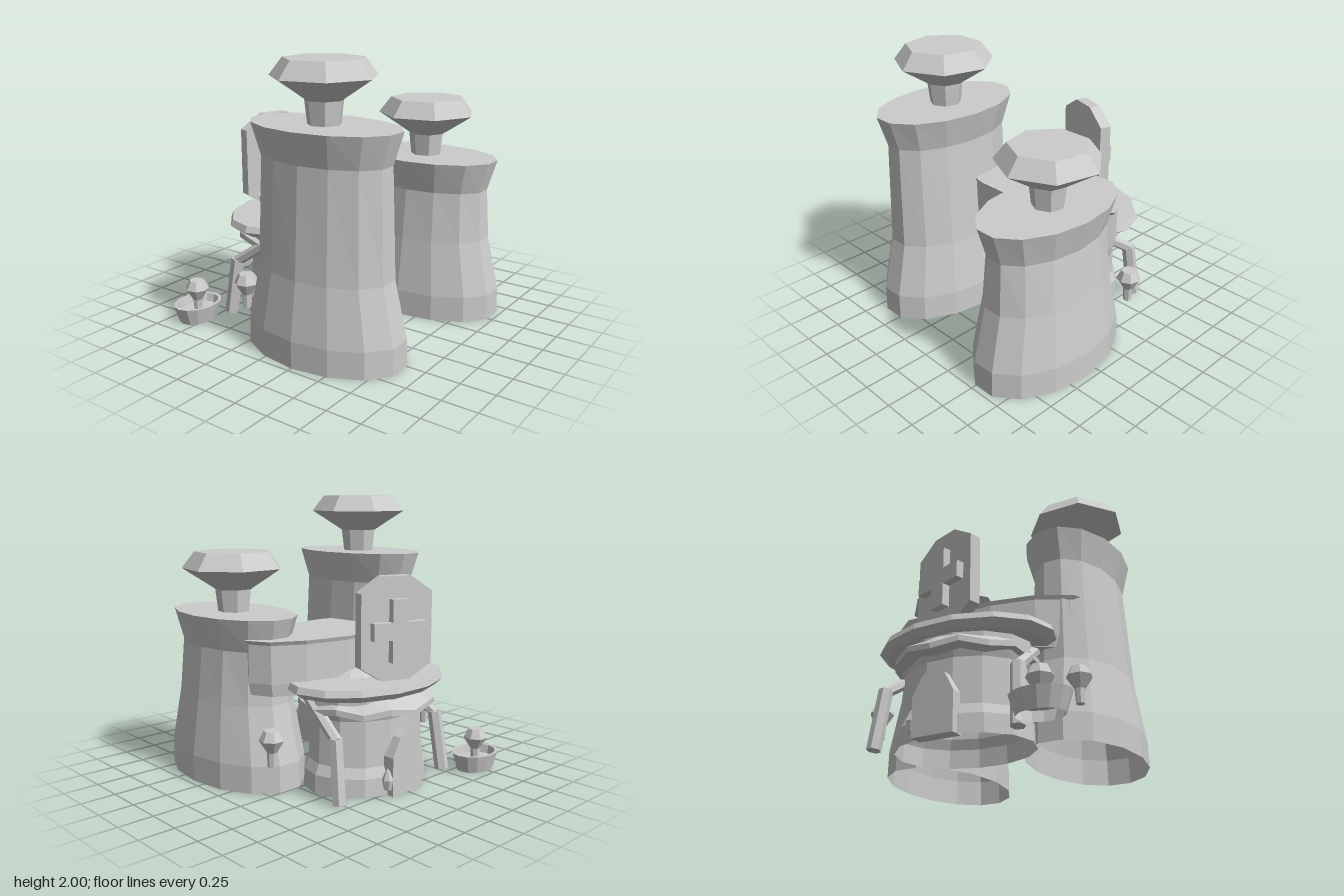
import * as THREE from 'three';

const stone = new THREE.MeshStandardMaterial({ color: 0xcccccc, side: THREE.DoubleSide });
stone.name = 'grey stone';

// Faceted mesh
function facet(name, geometry) {
  const g = geometry.index ? geometry.toNonIndexed() : geometry;
  g.computeVertexNormals();
  const mesh = new THREE.Mesh(g, stone);
  mesh.name = name;
  return mesh;
}

// Turned part: profile of [radius, y], stretched into an ellipse
function turned(name, profile, sides, [x, y, z], sx = 1, sz = 1, phase = Math.PI / sides) {
  const pts = profile.map(([r, h]) => new THREE.Vector2(r, h));
  const g = new THREE.LatheGeometry(pts, sides, phase);
  g.scale(sx, 1, sz);
  g.translate(x, y, z);
  return facet(name, g);
}

// Straight six-sided beam between two points
function beam(name, a, b, r) {
  const from = new THREE.Vector3(...a), to = new THREE.Vector3(...b);
  const dir = to.clone().sub(from);
  const g = new THREE.CylinderGeometry(r, r, dir.length(), 6);
  g.applyQuaternion(new THREE.Quaternion().setFromUnitVectors(new THREE.Vector3(0, 1, 0), dir.normalize()));
  g.translate(...from.add(to).multiplyScalar(0.5).toArray());
  return facet(name, g);
}

function extruded(name, points, depth) {
  const shape = new THREE.Shape(points.map(([x, y]) => new THREE.Vector2(x, y)));
  const g = new THREE.ExtrudeGeometry(shape, { depth, bevelEnabled: false });
  g.translate(0, 0, -depth / 2);
  return facet(name, g);
}

// Boot-like tower with a mushroom-shaped chimney; wall rings as [y, half x, half z]
function tower(name, x, z, waist, neck, top) {
  const group = new THREE.Group();
  group.name = name;
  const wall = turned('towerWall',
    [[0.385, 0], [0.383, 0.19], [0.328, waist], [0.288, neck], [0.348, top], [0, top]], 14, [x, 0, z]);
  // Rings are deeper than wide, more so higher up
  const p = wall.geometry.attributes.position;
  const rings = [[0, 1.61], [0.19, 1.61], [waist, 1.6], [neck, 1.74], [top, 1.64]];
  for (let i = 0; i < p.count; i++) {
    const k = rings.find(([h]) => Math.abs(h - p.getY(i)) < 1e-4)[1];
    p.setZ(i, z + (p.getZ(i) - z) * k);
  }
  wall.geometry.computeVertexNormals();
  group.add(wall);
  group.add(turned('chimney',
    [[0.115, 0], [0.133, 0.16], [0.365, 0.31], [0.275, 0.427], [0, 0.427]], 7, [x, top, z], 1, 1, 0));
  return group;
}

// Small lantern with a flared head
function lantern(name, pos, s = 1) {
  return turned(name, [[0, 0], [0.03, 0], [0.035, 0.1], [0.088, 0.185], [0.055, 0.25], [0, 0.25]]
    .map(([r, y]) => [r * s, y * s]), 7, pos, 1, 1, 0);
}

export function createModel() {
  const model = new THREE.Group();
  model.name = 'twinTowerHouse';

  // Towers
  model.add(tower('tallTower', -0.58, 0.25, 0.59, 1.35, 1.573));
  model.add(tower('shortTower', 0.575, 0.355, 0.59, 0.96, 1.187));

  // Bridge block joining the towers
  model.add(turned('bridge',
    [[0, 0.675], [0.95, 0.675], [0.97, 0.76], [0.97, 1.025], [1, 1.053], [0, 1.053]],
    14, [0, 0, -0.07], 0.8, 0.344));

  // Round house at the back
  model.add(turned('houseWall',
    [[1, 0], [0.99, 0.13], [0.92, 0.2], [0.9, 0.52], [0.97, 0.6], [0.97, 0.68]],
    14, [0, 0, -0.41], 0.49, 0.385));

  // Scalloped eave under the roof
  const eave = turned('eave', [[0.8, 0.54], [1, 0.55], [1, 0.59], [0.8, 0.67]], 16, [0, 0, -0.41], 0.5, 0.465, 0);
  const p = eave.geometry.attributes.position;
  for (let i = 0; i < p.count; i++) {
    const a = Math.atan2(p.getX(i) / 0.5, (p.getZ(i) + 0.41) / 0.465);
    if (p.getY(i) < 0.6 && Math.round(a / (Math.PI / 8)) % 2 !== 0) p.setY(i, p.getY(i) + 0.03);
  }
  eave.geometry.computeVertexNormals();
  model.add(eave);

  // Flat roof and its low dome
  model.add(turned('roof', [[0, 0.68], [0.9, 0.68], [1, 0.725], [0.97, 0.77], [0, 0.77]],
    14, [0, 0, -0.41], 0.65, 0.46));
  model.add(turned('roofDome', [[0.18, 0.76], [0.13, 0.79], [0.06, 0.81], [0, 0.815]], 10, [0.08, 0, -0.37]));

  // Door with a pointed top
  const door = extruded('door', [[-0.15, 0], [0.15, 0], [0.15, 0.27], [0.08, 0.4], [0, 0.455], [-0.08, 0.4], [-0.15, 0.27]], 0.1);
  door.position.z = -0.77;
  model.add(door);

  // Bent braces carrying the roof
  for (const s of [-1, 1]) {
    model.add(beam('braceTop', [s * 0.44, 0.68, -0.26], [s * 0.5, 0.42, -0.64], 0.04));
    model.add(beam('braceLeg', [s * 0.5, 0.44, -0.63], [s * 0.525, 0.01, -0.69], 0.05));
    model.add(lantern('sideLantern', [s * 0.77, 0.23, -0.3]));
  }

  // Little light beside the door
  model.add(turned('doorLight', [[0, 0.04], [0.025, 0.05], [0.04, 0.12], [0.015, 0.18], [0, 0.2]], 6, [0.17, 0, -0.79]));

  // Upright sign with a raised cross
  const sign = new THREE.Group();
  sign.name = 'sign';
  const slab = [[-0.1, 0.765], [0.1, 0.765], [0.27, 0.87], [0.27, 1.37], [0.1, 1.48], [-0.1, 1.48], [-0.27, 1.37], [-0.27, 0.87]];
  sign.add(extruded('signSlab', slab, 0.085));
  const a = 0.06, b = 0.2, c = 0.215;
  const cross = extruded('cross', [[-a, -c], [a, -c], [a, -a], [b, -a], [b, a], [a, a], [a, c], [-a, c], [-a, a], [-b, a], [-b, -a], [-a, -a]], 0.07);
  cross.position.set(0, 1.115, -0.065);
  sign.add(cross);
  sign.position.z = -0.67;
  sign.rotation.y = -0.32;
  model.add(sign);

  // Bowl with a small lantern standing in it
  model.add(turned('bowl', [[0.78, 0], [1, 0.13], [0.87, 0.13], [0.8, 0.07], [0, 0.07]],
    14, [-0.74, 0, -0.83], 0.197, 0.152));
  model.add(lantern('bowlLantern', [-0.74, 0.05, -0.83]));

  return model;
}
